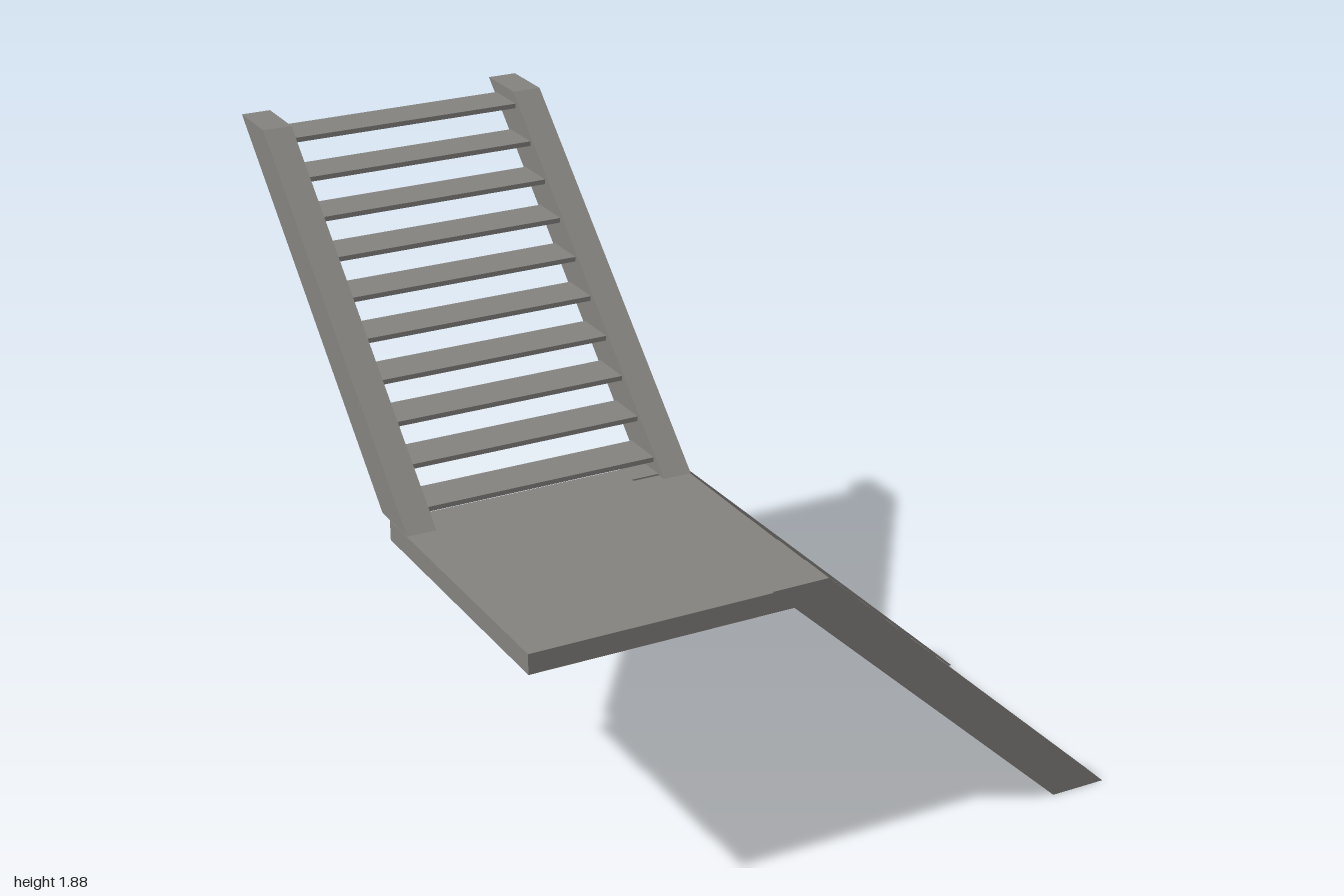
import * as THREE from 'three';

const BEAM = 0.092; // stringer width
const TREAD_T = 0.015;
const TREAD_D = 0.143;

// Slanted beam with level ends: foot and head are [low end, high end, y]
function stringerGeometry(foot, head) {
  const shape = new THREE.Shape([
    new THREE.Vector2(foot[0], foot[2]),
    new THREE.Vector2(foot[1], foot[2]),
    new THREE.Vector2(head[1], head[2]),
    new THREE.Vector2(head[0], head[2]),
  ]);
  return new THREE.ExtrudeGeometry(shape, { depth: BEAM, bevelEnabled: false });
}

export function createModel() {
  const model = new THREE.Group();
  const grey = new THREE.MeshStandardMaterial({ color: 0x858480 });
  grey.name = 'warm grey';

  function add(parent, name, geometry, x, y, z) {
    const mesh = new THREE.Mesh(geometry, grey);
    mesh.name = name;
    mesh.position.set(x, y, z);
    parent.add(mesh);
  }

  // Square landing between the two flights
  add(model, 'landing', new THREE.BoxGeometry(0.932, 0.063, 0.933), -0.506, 0.9035, 0.5315);

  // Lower flight, descending towards +x
  const lower = new THREE.Group();
  lower.name = 'lowerFlight';
  model.add(lower);
  const lowerBeam = stringerGeometry([0.787, 0.97, 0], [-0.222, -0.039, 0.94]);
  add(lower, 'lowerBackStringer', lowerBeam, 0, 0, 0.065);
  add(lower, 'lowerFrontStringer', lowerBeam, 0, 0, 1 - BEAM);
  const lowerTread = new THREE.BoxGeometry(TREAD_D, TREAD_T, 0.752);
  for (let i = 0; i < 9; i++) {
    add(lower, 'lowerTread', lowerTread, 0.91 - TREAD_D / 2 - i * 0.1032, 0.04 + i * 0.0958, 0.5325);
  }

  // Upper flight, climbing towards -z
  const upper = new THREE.Group();
  upper.name = 'upperFlight';
  model.add(upper);
  const upperBeam = stringerGeometry([0.01, 0.193, 0.937], [-1, -0.817, 1.877]);
  upperBeam.rotateY(-Math.PI / 2);
  add(upper, 'upperRightStringer', upperBeam, -0.972 + BEAM, 0, 0);
  add(upper, 'upperLeftStringer', upperBeam, -0.04, 0, 0);
  const upperTread = new THREE.BoxGeometry(0.748, TREAD_T, TREAD_D);
  for (let i = 0; i < 10; i++) {
    add(upper, 'upperTread', upperTread, -0.506, 0.975 + i * 0.0955, 0.126 - TREAD_D / 2 - i * 0.1032);
  }
  return model;
}
